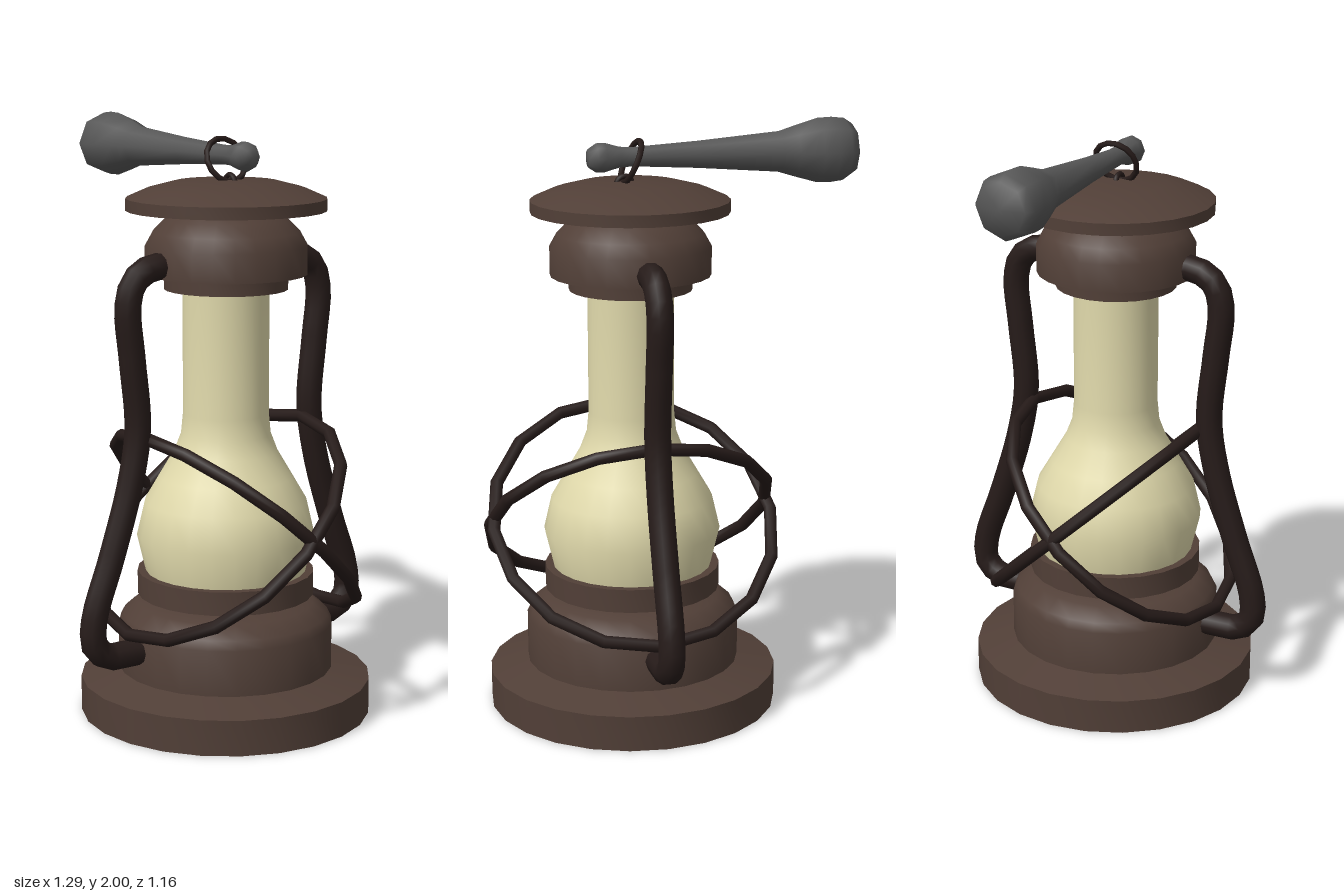
import * as THREE from 'three';
import { toCreasedNormals } from 'three/addons/utils/BufferGeometryUtils.js';

const material = (color) => new THREE.MeshStandardMaterial({ color });

export function createModel() {
  const model = new THREE.Group();
  const lantern = new THREE.Group();
  lantern.name = 'lantern';
  lantern.position.x = 0.13;
  model.add(lantern);

  const brown = material(0x513f37);
  const dark = material(0x261b19);
  const cream = material(0xe0d9ab);
  const grey = material(0x585858);

  const add = (name, geometry, mat, parent = lantern) => {
    const mesh = new THREE.Mesh(geometry, mat);
    mesh.name = name;
    parent.add(mesh);
    return mesh;
  };
  // Profile is [radius, height], running up the outside
  const turned = (profile, segments) => toCreasedNormals(
    new THREE.LatheGeometry(profile.map(([r, y]) => new THREE.Vector2(r, y)), segments), 0.6);

  // Hollow foot and fuel tank
  add('base', turned([
    [0, 0.13], [0.43, 0.12], [0.43, 0], [0.495, 0], [0.495, 0.12], [0.365, 0.155],
    [0.365, 0.31], [0.35, 0.34], [0.3, 0.38], [0.235, 0.39], [0.235, 0.42], [0, 0.42],
  ], 24), brown);
  add('burnerRing', turned([
    [0, 0.41], [0.3, 0.41], [0.3, 0.49], [0.27, 0.49], [0, 0.48],
  ], 24), brown);

  // Glass chimney
  add('glass', turned([
    [0.27, 0.48], [0.302, 0.615], [0.275, 0.73], [0.225, 0.815], [0.175, 0.9],
    [0.152, 0.96], [0.145, 1.03], [0.145, 1.46],
  ], 24), cream);

  // Hood and lid
  add('hood', turned([
    [0, 1.45], [0.207, 1.45], [0.207, 1.5], [0.27, 1.5], [0.27, 1.595],
    [0.245, 1.64], [0.205, 1.68], [0.16, 1.71], [0, 1.72],
  ], 24), brown);
  add('lid', turned([
    [0, 1.71], [0.333, 1.71], [0.333, 1.75], [0.26, 1.782], [0.17, 1.805], [0, 1.812],
  ], 24), brown);

  // Side tubes at front and back, as [z, y]
  const tubePath = [
    [0.23, 1.54], [0.3, 1.54], [0.365, 1.5], [0.39, 1.42], [0.375, 1.25], [0.355, 1.02],
    [0.385, 0.84], [0.46, 0.6], [0.53, 0.4], [0.53, 0.31], [0.48, 0.265], [0.42, 0.26], [0.33, 0.26],
  ];
  for (const side of [1, -1]) {
    const path = new THREE.CatmullRomCurve3(
      tubePath.map(([z, y]) => new THREE.Vector3(0, y, z * side)), false, 'centripetal');
    add(side > 0 ? 'frontTube' : 'backTube', new THREE.TubeGeometry(path, 36, 0.045, 10), dark);

    // Crossed guard rings around the glass
    const ring = add(side > 0 ? 'guardRingA' : 'guardRingB',
      new THREE.TorusGeometry(0.487, 0.022, 8, 16), dark);
    ring.position.set(0, 0.652, -0.036 * side);
    ring.rotation.x = side * (Math.PI / 2 - 0.74);
  }

  // Staple on the lid and the link through it
  const staple = add('staple', new THREE.TorusGeometry(0.027, 0.009, 6, 12, Math.PI), dark);
  staple.position.set(0.02, 1.8, 0);
  const link = new THREE.Group();
  link.name = 'linkRing';
  link.position.set(-0.003, 1.873, 0);
  link.rotation.z = 0.42;
  lantern.add(link);
  add('link', new THREE.TorusGeometry(0.075, 0.01, 6, 14).rotateY(Math.PI / 2), dark, link);

  // Carrying handle, turned along x from the end ball to the thick grip
  const handle = add('handle', turned([
    [0, -0.275], [0.03, -0.272], [0.048, -0.245], [0.048, -0.215], [0.034, -0.165],
    [0.032, -0.12], [0.045, 0.1], [0.068, 0.38], [0.085, 0.435], [0.108, 0.515],
    [0.11, 0.565], [0.105, 0.61], [0.085, 0.64], [0, 0.65],
  ], 8), grey, model);
  handle.geometry = toCreasedNormals(handle.geometry, 1);
  handle.rotation.z = Math.PI / 2;
  handle.position.y = 1.89;

  return model;
}
